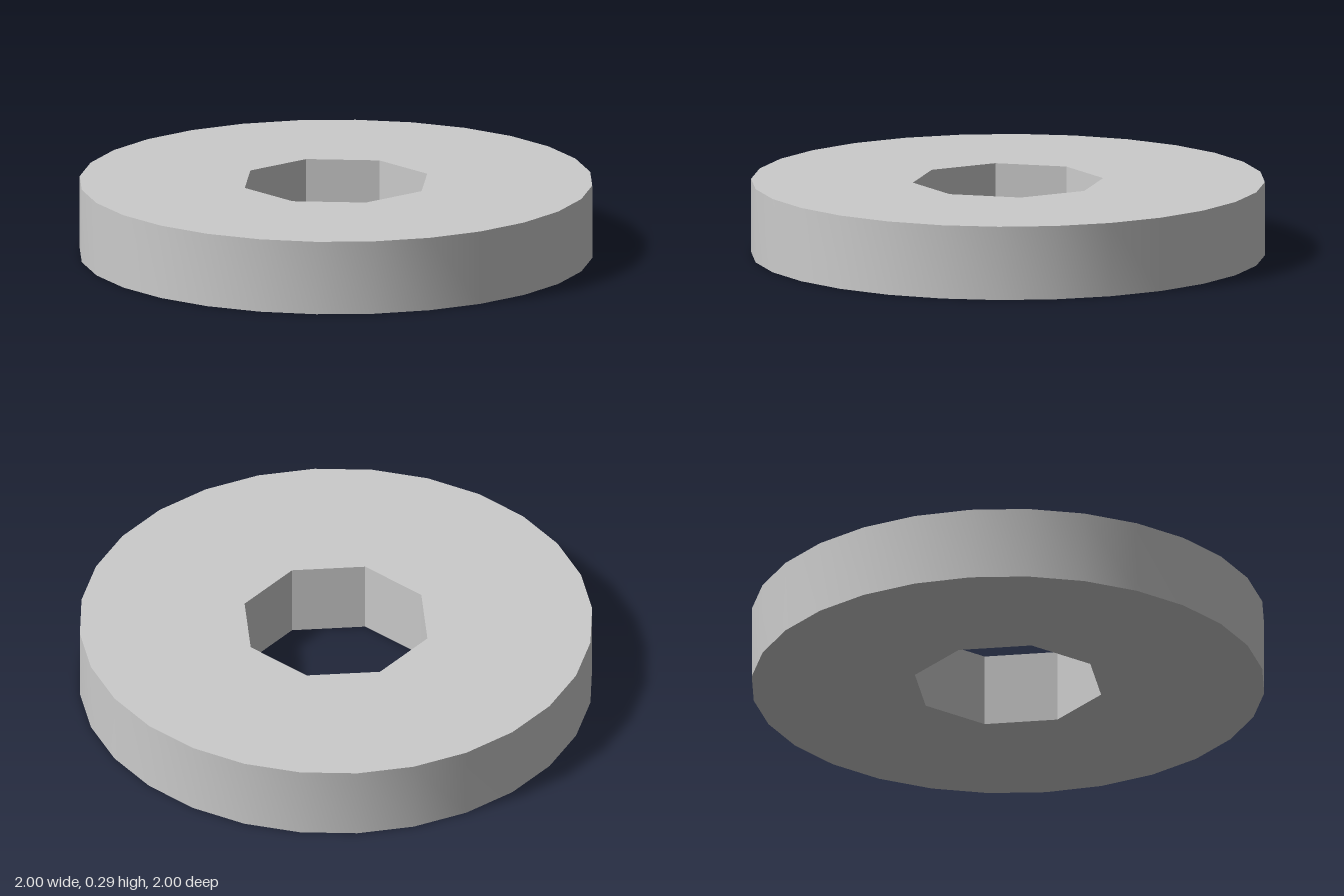
import * as THREE from 'three';
import { toCreasedNormals } from 'three/addons/utils/BufferGeometryUtils.js';

const HEIGHT = 0.29;
const HOLE_APOTHEM = 0.345;

// Corners of a regular polygon, the first one at angle start
function polygon(sides, radius, start = 0) {
  return Array.from({ length: sides }, (_, i) => {
    const a = start + (i / sides) * Math.PI * 2;
    return new THREE.Vector2(Math.cos(a) * radius, Math.sin(a) * radius);
  });
}

export function createModel() {
  const group = new THREE.Group();
  group.name = 'washer';

  // Round disc with an octagonal hole
  const outline = new THREE.Shape(polygon(28, 1));
  const holeRadius = HOLE_APOTHEM / Math.cos(Math.PI / 8);
  outline.holes.push(new THREE.Path(polygon(8, holeRadius, Math.PI / 8)));

  const extruded = new THREE.ExtrudeGeometry(outline, { depth: HEIGHT, bevelEnabled: false });
  extruded.rotateX(-Math.PI / 2);

  // Smooth rim, sharp hole corners and edges
  const disc = new THREE.Mesh(
    toCreasedNormals(extruded, 0.4),
    new THREE.MeshStandardMaterial({ color: 0xcccccc })
  );
  disc.name = 'disc';
  group.add(disc);
  return group;
}
